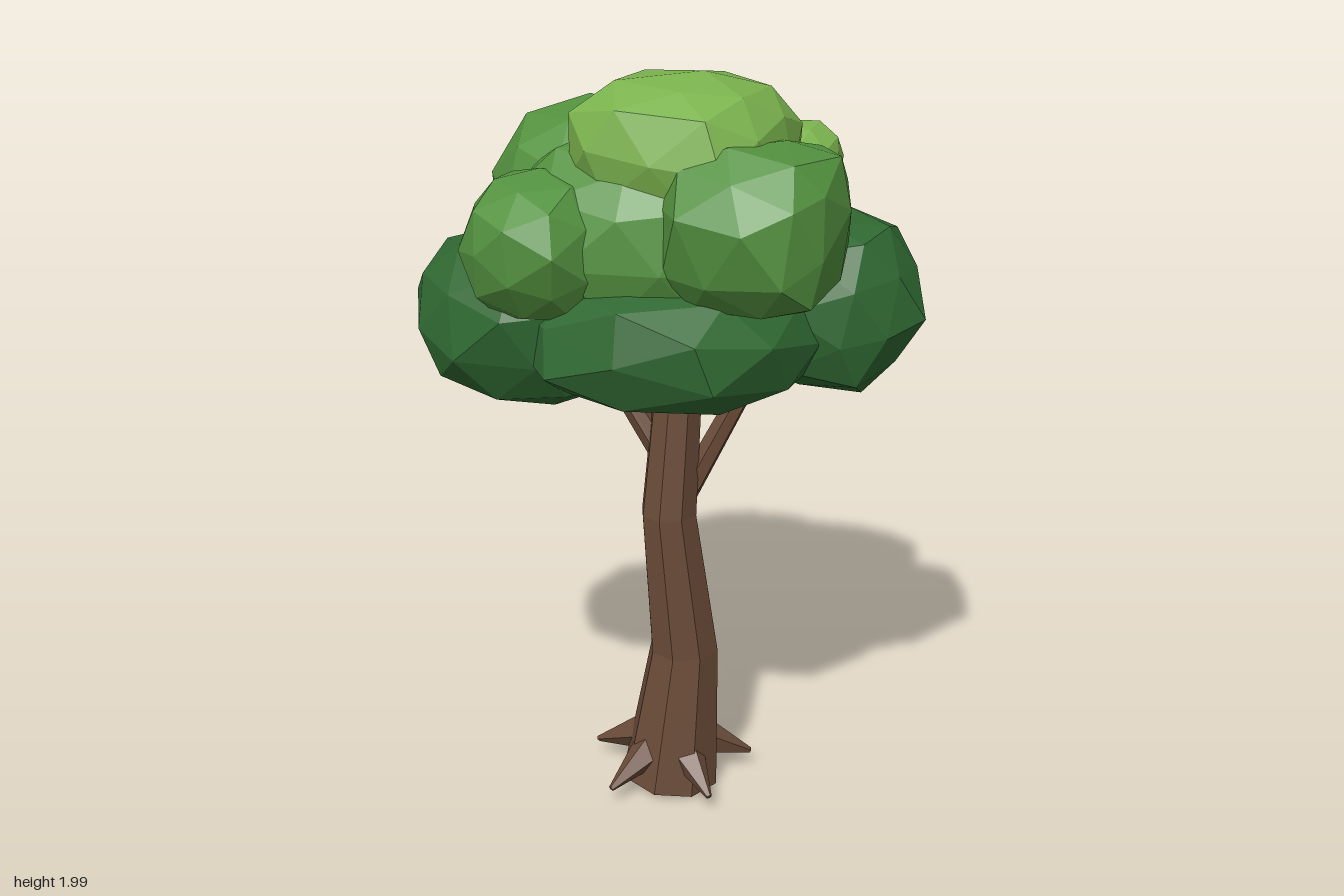
import * as THREE from 'three';

const mat = (name, color) => {
  const m = new THREE.MeshStandardMaterial({ color });
  m.name = name;
  return m;
};

// Unshared vertices give every face its own flat normal
function flat(geo) {
  const g = geo.index ? geo.toNonIndexed() : geo;
  g.computeVertexNormals();
  return g;
}

// Faceted leaf clump: an icosphere, dented per vertex, then stretched.
// A power below 1 fills out the shoulders and makes the clump boxier.
function clumpGeometry(radii, power, seed) {
  const geo = new THREE.IcosahedronGeometry(1, 1);
  const p = geo.attributes.position;
  const v = new THREE.Vector3();
  const turn = new THREE.Euler(seed * 1.3, seed * 2.1, seed * 0.7);
  const boxy = (c) => Math.sign(c) * Math.abs(c) ** power;
  for (let i = 0; i < p.count; i++) {
    v.fromBufferAttribute(p, i);
    const key = Math.round(v.x * 50) * 12.9 + Math.round(v.y * 50) * 78.2 + Math.round(v.z * 50) * 37.7;
    const h = Math.sin(key + seed * 4.1) * 4375.85;
    const dent = 0.93 + 0.12 * (h - Math.floor(h));
    v.applyEuler(turn);
    v.set(boxy(v.x), boxy(v.y), boxy(v.z)).multiplyScalar(dent).multiply(radii);
    p.setXYZ(i, v.x, v.y, v.z);
  }
  return flat(geo);
}

// Tapered limb between two points
function limb(name, a, b, r0, r1, sides, material) {
  const from = new THREE.Vector3(...a), to = new THREE.Vector3(...b);
  const dir = to.clone().sub(from);
  const mesh = new THREE.Mesh(flat(new THREE.CylinderGeometry(r1, r0, dir.length(), sides)), material);
  mesh.name = name;
  mesh.position.copy(from).add(to).multiplyScalar(0.5);
  mesh.quaternion.setFromUnitVectors(new THREE.Vector3(0, 1, 0), dir.normalize());
  return mesh;
}

// Bent trunk: a cylinder whose rings follow a crooked centre line
function trunkGeometry() {
  const rings = [ // x, y, z, radius
    [0, 0, 0.025, 0.135], [0.035, 0.41, 0.01, 0.096], [0.003, 0.82, 0.045, 0.076],
    [0.022, 1.2, 0.02, 0.064], [0.03, 1.5, 0, 0.045],
  ];
  const geo = new THREE.CylinderGeometry(1, 1, rings.length - 1, 8, rings.length - 1);
  const p = geo.attributes.position;
  for (let i = 0; i < p.count; i++) {
    const k = Math.round(p.getY(i) + (rings.length - 1) / 2);
    const [cx, cy, cz, r] = rings[k];
    const x = cx + p.getX(i) * r;
    p.setXYZ(i, x, k === 0 ? Math.max(0, 0.014 - 0.1 * x) : cy, cz + p.getZ(i) * r);
  }
  return flat(geo);
}

export function createModel() {
  const bark = mat('bark brown', 0x6b4c39);
  const dark = mat('dark leaf green', 0x306932);
  const mid = mat('mid leaf green', 0x53913f);
  const light = mat('light leaf green', 0x7bb34e);

  const tree = new THREE.Group();
  tree.name = 'tree';

  const trunk = new THREE.Mesh(trunkGeometry(), bark);
  trunk.name = 'trunk';
  tree.add(trunk);

  // Branches
  tree.add(
    limb('leftBranch', [0.04, 0.87, 0.02], [0.26, 1.32, -0.04], 0.035, 0.025, 6, bark),
    limb('rightBranch', [0, 0.95, 0.03], [-0.24, 1.32, 0.04], 0.035, 0.025, 6, bark),
    limb('backBranch', [0.02, 0.86, 0.02], [0.05, 1.36, -0.07], 0.035, 0.025, 6, bark),
  );

  // Pointed roots around the foot
  const roots = new THREE.Group();
  roots.name = 'roots';
  for (let i = 0; i < 5; i++) {
    const a = (43 + i * 72) * Math.PI / 180;
    const c = Math.cos(a), s = Math.sin(a);
    roots.add(limb('root', [c * 0.075, 0.12, 0.015 + s * 0.075],
      [c * 0.23 - 0.005, 0.05, 0.015 + s * 0.23], 0.056, 0.008, 5, bark));
  }
  tree.add(roots);

  // Leaf clumps: name, material, centre, radii, power, forward tilt
  const clumps = [
    ['lowerRightClump', dark, [-0.33, 1.375, 0.155], [0.3, 0.23, 0.25], 0.88, 0],
    ['lowerLeftClump', dark, [0.36, 1.4, -0.11], [0.265, 0.235, 0.235], 0.88, 0],
    ['lowerCoreClump', dark, [0.03, 1.345, 0.075], [0.4, 0.195, 0.425], 0.9, -0.1],
    ['lowerBackClump', dark, [0.07, 1.425, -0.25], [0.28, 0.215, 0.26], 0.88, 0],
    ['middleLeftClump', mid, [0.275, 1.65, 0.175], [0.228, 0.215, 0.248], 0.75, 0],
    ['middleFrontClump', mid, [-0.235, 1.585, 0.28], [0.19, 0.19, 0.205], 0.9, 0],
    ['middleRightClump', mid, [-0.27, 1.595, -0.145], [0.28, 0.28, 0.27], 1, 0],
    ['middleBackClump', mid, [0.08, 1.62, -0.17], [0.27, 0.235, 0.23], 0.78, 0],
    ['middleCoreClump', mid, [-0.035, 1.6, 0.13], [0.35, 0.245, 0.27], 0.88, 0],
    ['crownClump', light, [0.06, 1.8, 0.09], [0.28, 0.19, 0.265], 0.78, -0.06],
    ['crownLeftClump', light, [0.245, 1.735, -0.17], [0.145, 0.105, 0.135], 0.85, 0],
    ['crownRightClump', light, [-0.15, 1.795, -0.17], [0.145, 0.105, 0.135], 0.85, 0],
  ];
  const foliage = new THREE.Group();
  foliage.name = 'foliage';
  clumps.forEach(([name, material, centre, radii, power, tilt], i) => {
    const mesh = new THREE.Mesh(clumpGeometry(new THREE.Vector3(...radii), power, i + 1), material);
    mesh.name = name;
    mesh.position.set(...centre);
    mesh.rotation.x = tilt;
    foliage.add(mesh);
  });
  tree.add(foliage);
  return tree;
}
